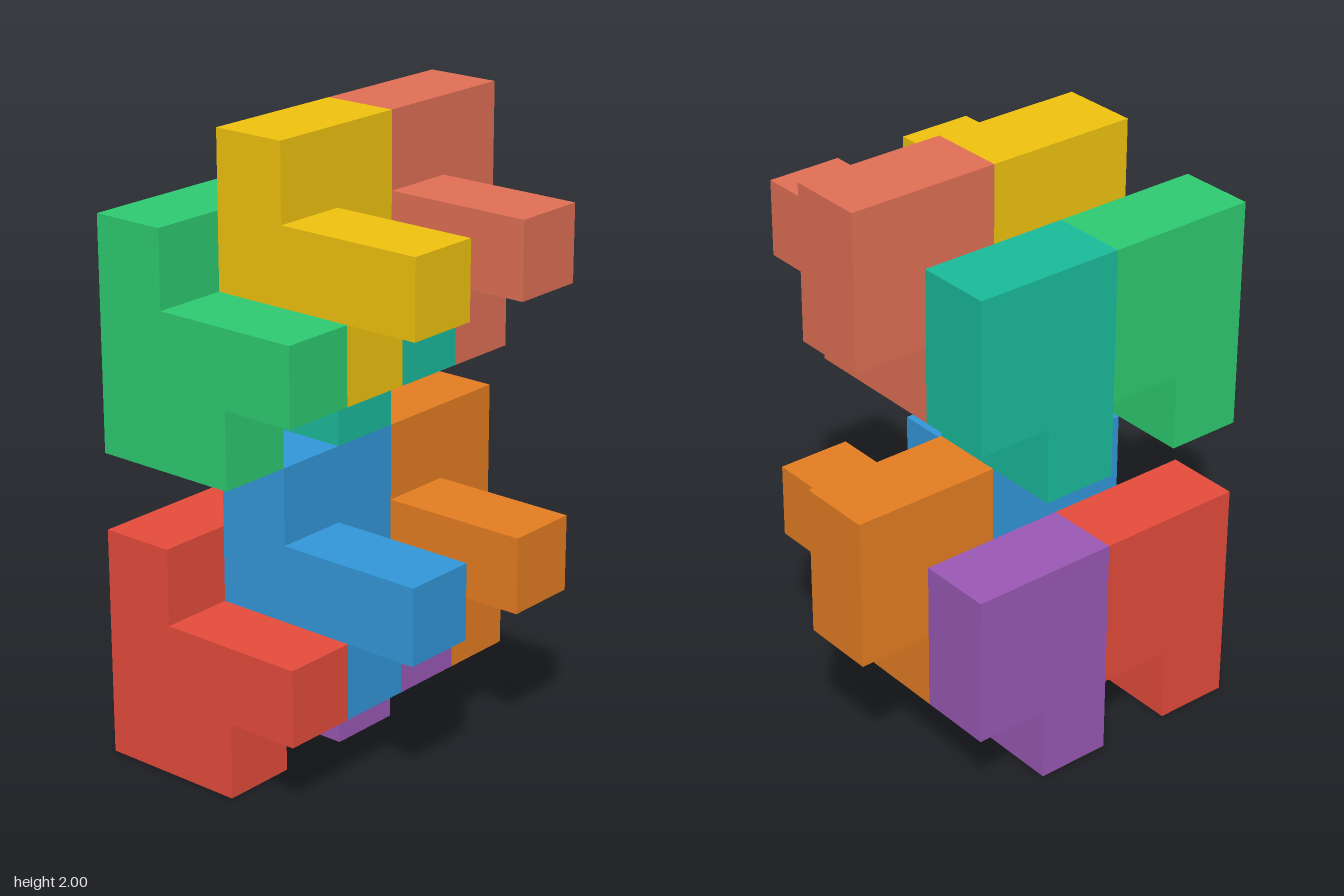
import * as THREE from 'three';
import { mergeGeometries } from 'three/addons/utils/BufferGeometryUtils.js';

const UNIT = 0.25; // edge of one cube cell

// One puzzle piece of eight cells: a stepped side profile with a two-cell wing on its +x side
function pieceGeometry() {
  const profile = new THREE.Shape(
    [[0, 0], [2, 0], [2, 1], [3, 1], [3, 2], [1, 2], [1, 3], [0, 3]]
      .map(([z, y]) => new THREE.Vector2(z, y))
  );
  const column = new THREE.ExtrudeGeometry(profile, { depth: 1, bevelEnabled: false });
  column.rotateY(-Math.PI / 2).translate(1, 0, 0);

  const wing = new THREE.BoxGeometry(1, 2, 1).toNonIndexed();
  wing.translate(1.5, 2, 0.5);

  return mergeGeometries([column, wing]).scale(UNIT, UNIT, UNIT);
}

// Cell offsets of the four interlocking pieces in one layer
const SLOTS = [
  { name: 'backRightPiece', cell: [0, 0, 0] },
  { name: 'frontRightPiece', cell: [1, 1, 1] },
  { name: 'backLeftPiece', cell: [2, 0, 0] },
  { name: 'frontLeftPiece', cell: [3, 1, 1] },
];

// Piece colours per layer, in slot order
const LAYERS = [
  { name: 'lowerLayer', colors: [0xe74c3c, 0x3498db, 0x9b59b6, 0xe67e22] },
  { name: 'upperLayer', colors: [0x2ecc71, 0xf1c40f, 0x1abc9c, 0xe17055] },
];

export function createModel() {
  const model = new THREE.Group();
  model.name = 'interlockingBlocks';
  const geometry = pieceGeometry();

  LAYERS.forEach((layer, level) => {
    const group = new THREE.Group();
    group.name = layer.name;
    group.position.set(-2.5 * UNIT, level * 4 * UNIT, -2 * UNIT);
    SLOTS.forEach(({ name, cell }, i) => {
      const material = new THREE.MeshStandardMaterial({ color: layer.colors[i] });
      const piece = new THREE.Mesh(geometry, material);
      piece.name = name;
      piece.position.set(...cell).multiplyScalar(UNIT);
      group.add(piece);
    });
    model.add(group);
  });
  return model;
}
